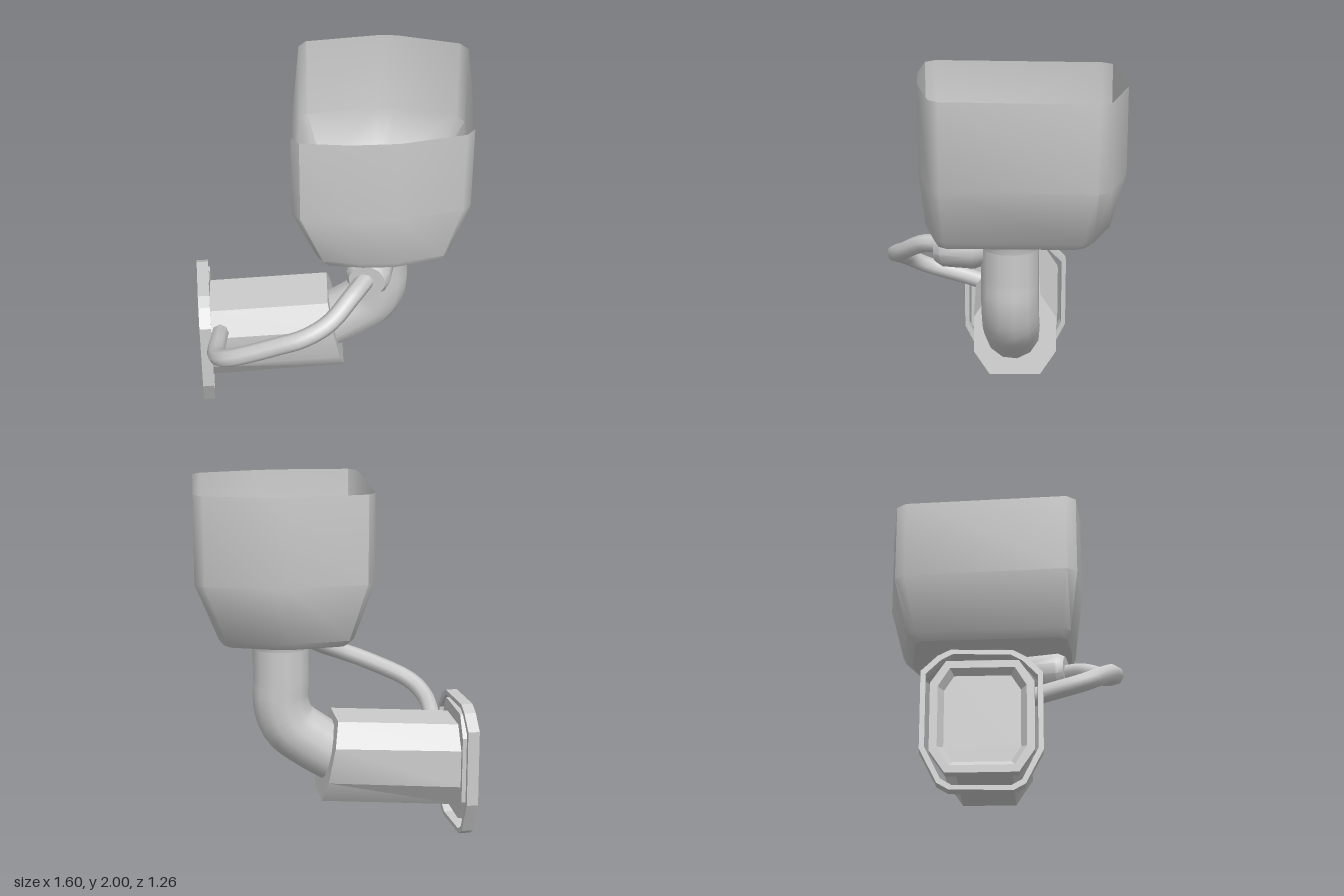
import * as THREE from 'three';
import { toCreasedNormals } from 'three/addons/utils/BufferGeometryUtils.js';

const material = new THREE.MeshStandardMaterial({ color: 0xcccccc, side: THREE.DoubleSide });
const V = (x, y, z) => new THREE.Vector3(x, y, z);

// Skin a series of equally long closed loops, optionally closing the ends
function loft(loops, capStart, capEnd, crease) {
  const n = loops[0].length;
  const pos = loops.flat().flatMap(p => [p.x, p.y, p.z]);
  const idx = [];
  for (let i = 0; i < loops.length - 1; i++) {
    for (let j = 0; j < n; j++) {
      const a = i * n + j, b = i * n + (j + 1) % n;
      idx.push(a, b, a + n, b, b + n, a + n);
    }
  }
  const cap = (row, flip) => {
    for (let j = 1; j < n - 1; j++) {
      const b = row * n + j, c = b + 1;
      idx.push(row * n, flip ? c : b, flip ? b : c);
    }
  };
  if (capStart) cap(0, true);
  if (capEnd) cap(loops.length - 1, false);
  const g = new THREE.BufferGeometry();
  g.setAttribute('position', new THREE.Float32BufferAttribute(pos, 3));
  g.setIndex(idx);
  return toCreasedNormals(g, crease);
}

// Rectangle with cut corners in the y-z plane
function octagon(x, y, w, h, cw, ch, lean = 0) {
  return [[w, -h + ch], [w, h - ch], [w - cw, h], [-w + cw, h],
    [-w, h - ch], [-w, -h + ch], [-w + cw, -h], [w - cw, -h]]
    .map(([u, v]) => V(x - lean * v, y + v, u));
}

function tube(points, radius, steps, sides) {
  return new THREE.TubeGeometry(new THREE.CatmullRomCurve3(points, false, 'centripetal'), steps, radius, sides);
}

export function createModel() {
  const model = new THREE.Group();
  const add = (name, geometry, parent = model) => {
    const mesh = new THREE.Mesh(geometry, material);
    mesh.name = name;
    parent.add(mesh);
    return mesh;
  };

  // Open hopper: irregular plan, narrowing towards its floor
  const plan = [[-0.12, -0.58], [-0.07, -0.63], [0.34, -0.635], [0.44, -0.615], [0.765, -0.47], [0.8, -0.4],
    [0.65, 0.4], [0.6, 0.445], [0.25, 0.475], [0.0, 0.45], [-0.255, 0.39], [-0.29, 0.33]];
  const ring = (y, sx, sz) => plan.map(([x, z]) => V(0.25 + (x - 0.25) * sx, y, 0.13 + (z - 0.13) * sz));
  const floorLoop = ring(1.178, 0.69, 0.83);
  add('hopper', loft([ring(2, 1, 1), ring(1.53, 1, 1), ring(1.22, 0.755, 0.9), floorLoop], false, false, 0.75));

  // Hopper floor with the outlet hole
  const pipeX = 0.25, pipeZ = -0.02;
  const floor = new THREE.Shape(floorLoop.map(p => new THREE.Vector2(p.x, -p.z)));
  const hole = [];
  for (let i = 0; i < 12; i++) {
    const a = i * Math.PI / 6;
    hole.push(new THREE.Vector2(pipeX + 0.205 * Math.sin(a), -pipeZ - 0.205 * Math.cos(a)));
  }
  floor.holes.push(new THREE.Path(hole));
  add('hopperFloor', new THREE.ShapeGeometry(floor).rotateX(-Math.PI / 2).translate(0, 1.178, 0));

  // Flared outlet and bent pipe
  const flare = [[0.16, 1.08], [0.166, 1.12], [0.18, 1.155], [0.205, 1.178]].map(p => new THREE.Vector2(...p));
  add('outletFlare', new THREE.LatheGeometry(flare, 12).translate(pipeX, 0, pipeZ));
  add('bentPipe', tube([V(0.25, 1.1, -0.02), V(0.25, 0.9, -0.02), V(0.25, 0.76, -0.02), V(0.205, 0.635, -0.03),
    V(0.09, 0.54, -0.05), V(-0.08, 0.435, -0.08)], 0.16, 20, 12));

  // Faceted chamber with an end plate that has a shallow recess
  const chamber = new THREE.Group();
  chamber.name = 'chamber';
  chamber.position.set(-0.72, 0.405, -0.175);
  chamber.rotation.y = -0.13;
  model.add(chamber);
  add('chamberBody', loft([
    octagon(0, 0, 0.235, 0.235, 0.09, 0.13),
    octagon(0.73, 0.05, 0.235, 0.228, 0.09, 0.13, 0.2),
  ], false, true, 0.6), chamber);
  add('endPlate', loft([
    octagon(-0.01, 0, 0.195, 0.235, 0.05, 0.08),
    octagon(-0.045, 0, 0.225, 0.265, 0.06, 0.1),
    octagon(-0.045, 0, 0.265, 0.305, 0.08, 0.12),
    octagon(0.005, 0, 0.265, 0.305, 0.08, 0.12),
    octagon(0.005, 0, 0.2, 0.2, 0.08, 0.12),
  ], true, true, 0.4), chamber);

  // Thin flange ring around the end plate
  const half = [[0.16, -0.38], [0.22, -0.345], [0.31, -0.165], [0.31, 0.26], [0.225, 0.345], [0.16, 0.38]];
  const outline = [...half, ...half.map(([u, v]) => [-u, v]).reverse()];
  const scaled = (sx, sy) => outline.map(([u, v]) => new THREE.Vector2(u * sx, v * sy));
  const flange = new THREE.Shape(scaled(1, 1));
  flange.holes.push(new THREE.Path(scaled(0.915, 0.935)));
  const flangeRing = add('flangeRing', new THREE.ExtrudeGeometry(flange, { depth: 0.065, bevelEnabled: false })
    .rotateY(Math.PI / 2).translate(-0.0325, 0, 0));
  flangeRing.position.set(-0.747, 0.382, -0.182);
  flangeRing.rotation.y = -0.07;

  // Side valve on the pipe
  const valveProfile = [[0, -0.04], [0.095, -0.04], [0.122, 0.02], [0.122, 0.2], [0.1, 0.24], [0, 0.24]]
    .map(p => new THREE.Vector2(...p));
  const valve = add('valve', toCreasedNormals(new THREE.LatheGeometry(valveProfile, 12), 0.7));
  valve.position.set(0.185, 1.06, 0.14);
  valve.quaternion.setFromUnitVectors(V(0, 1, 0), V(-0.33, 0, 0.944).normalize());

  // Thin return line from the valve to the chamber
  add('returnLine', tube([V(-0.67, 0.52, 0.0), V(-0.695, 0.56, 0.12), V(-0.725, 0.63, 0.35), V(-0.67, 0.7, 0.46),
    V(-0.4, 0.83, 0.555), V(-0.27, 0.88, 0.575), V(-0.13, 0.94, 0.545), V(0.02, 1.035, 0.44), V(0.11, 1.06, 0.34)],
  0.05, 36, 8));

  return model;
}
